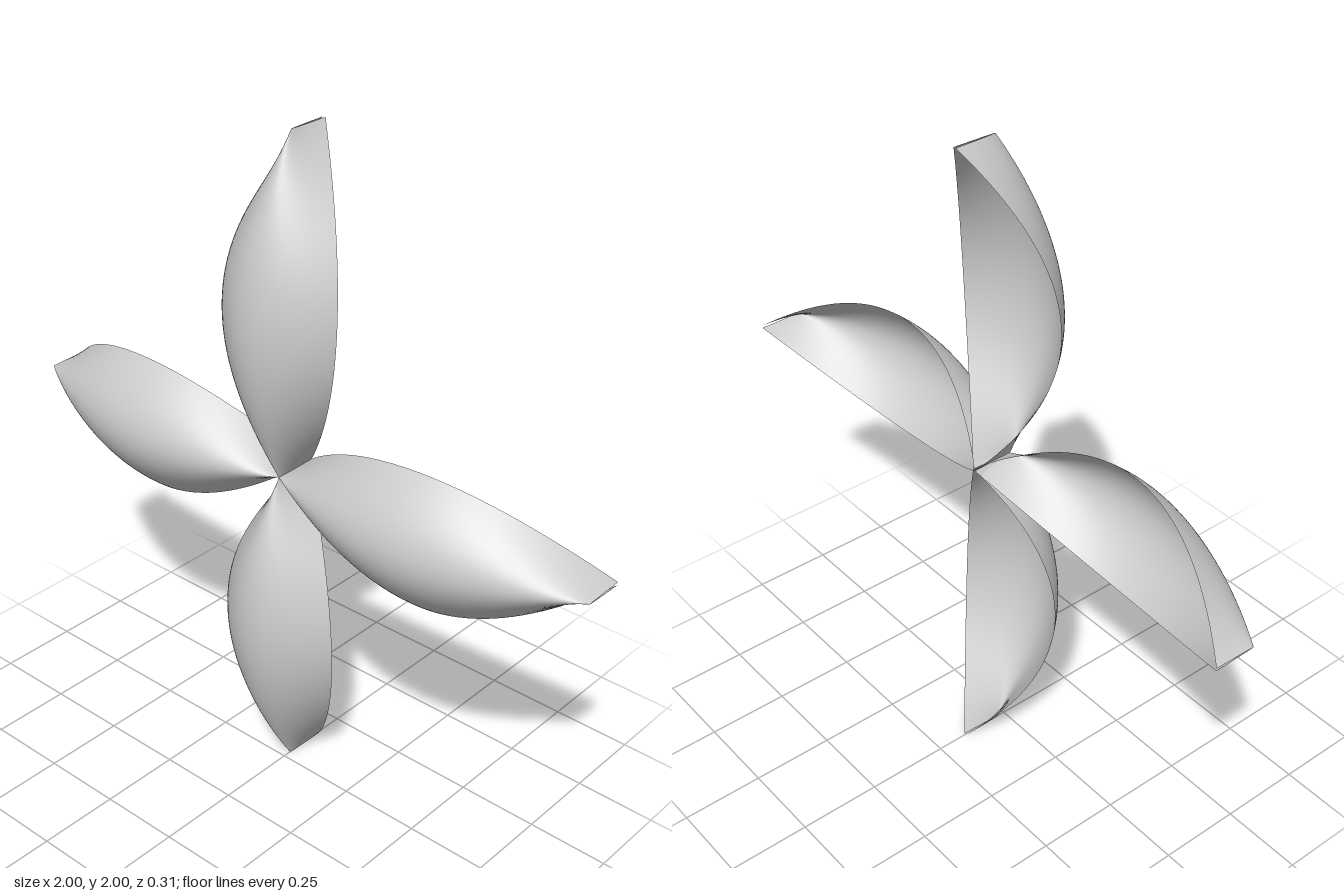
import * as THREE from 'three';

const DEPTH = 0.128;      // how far the side edges fall behind the ridge
const HALF_WIDTH = 0.205;

// One arched, open petal running from the centre (r = 0) to its tip (r = 1) along +y
function petalGeometry() {
  const geo = new THREE.PlaneGeometry(2, 1, 32, 48);
  const pos = geo.attributes.position;
  for (let i = 0; i < pos.count; i++) {
    const u = pos.getX(i);              // -1..1 across the petal
    const r = pos.getY(i) + 0.5;        // 0..1 along the petal
    const s = 2 * r - 1;
    const halfWidth = 0.004 + (HALF_WIDTH - 0.004) * (1 - s * s);
    const ridge = 0.153 - 0.615 * (r - 0.46) ** 2;
    pos.setXYZ(i, u * halfWidth, r, ridge - DEPTH * u * u);
  }
  geo.computeVertexNormals();
  return geo;
}

export function createModel() {
  const model = new THREE.Group();
  model.name = 'fourPetalRotor';
  const material = new THREE.MeshStandardMaterial({ color: 0xcccccc, side: THREE.DoubleSide });
  const geometry = petalGeometry();

  // Four identical petals around the centre
  ['topPetal', 'rightPetal', 'bottomPetal', 'leftPetal'].forEach((name, i) => {
    const petal = new THREE.Mesh(geometry, material);
    petal.name = name;
    petal.position.y = 1;
    petal.rotation.z = (i * Math.PI) / 2;
    model.add(petal);
  });
  return model;
}
